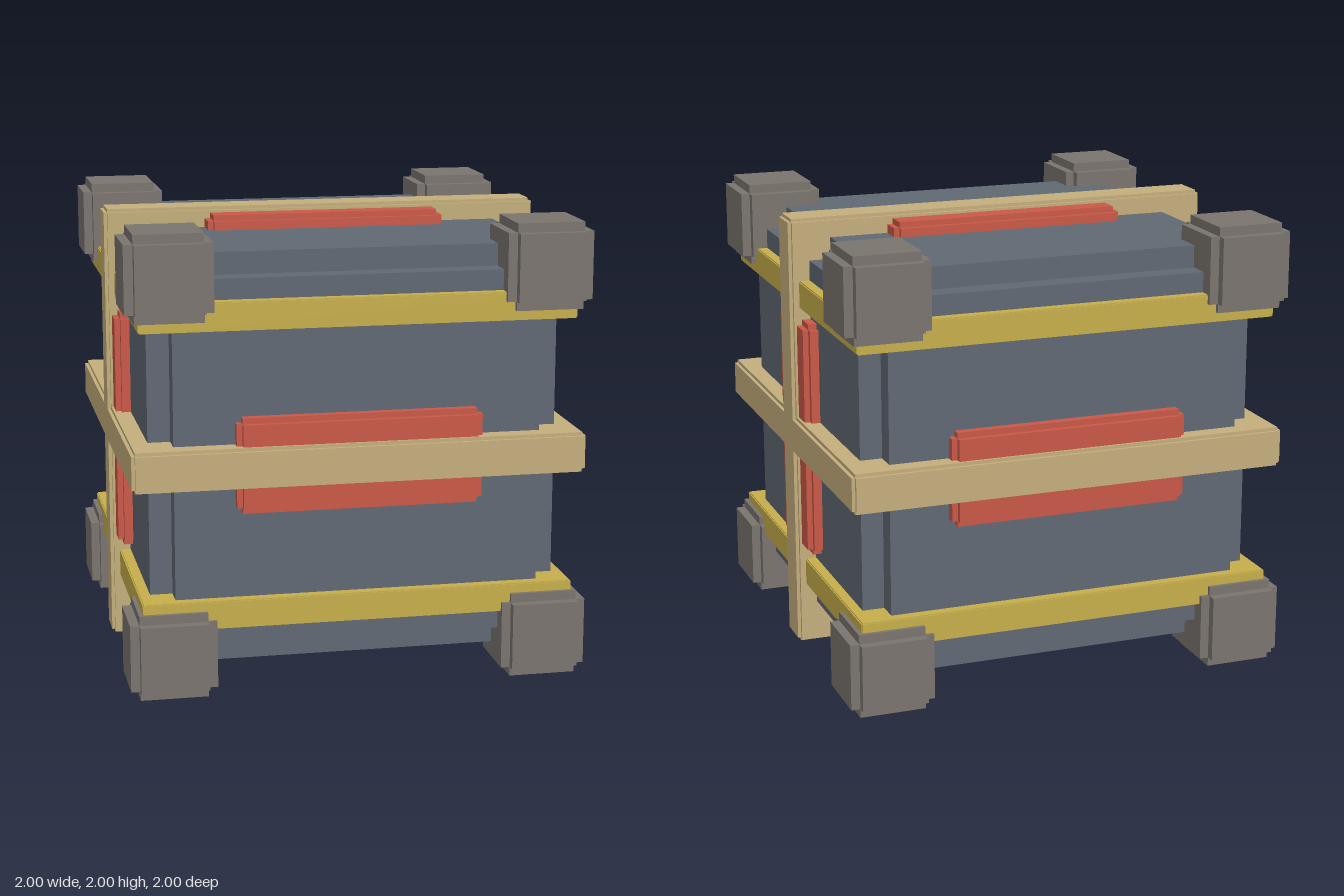
import * as THREE from 'three';

const material = (name, color) => {
  const m = new THREE.MeshStandardMaterial({ color });
  m.name = name;
  return m;
};

// Box with square-stepped edges: three boxes, each reaching full size on one axis.
function steppedBox(name, mat, half, step, position) {
  const group = new THREE.Group();
  group.name = name;
  for (let axis = 0; axis < 3; axis++) {
    const size = half.map((h, i) => 2 * (i === axis ? h : h - step));
    const mesh = new THREE.Mesh(new THREE.BoxGeometry(...size), mat);
    mesh.name = name + 'Block' + 'XYZ'[axis];
    group.add(mesh);
  }
  group.position.set(...position);
  return group;
}

export function createModel() {
  const slate = material('slate', 0x606873);
  const tan = material('tan', 0xc4ae7c);
  const gold = material('gold', 0xc6ae4b);
  const red = material('red', 0xc95847);
  const grey = material('warmGrey', 0x7a746e);

  const model = new THREE.Group();
  model.name = 'crate';
  const add = (...args) => model.add(steppedBox(...args));

  // Main body
  add('body', slate, [0.893, 0.893, 0.893], 0.097, [0, 1, 0]);

  // Tan straps: one around the waist, one over the top and sides
  add('waistStrap', tan, [0.983, 0.088, 0.983], 0.015, [0, 1, 0]);
  add('verticalStrap', tan, [0.983, 0.983, 0.088], 0.015, [0, 1, 0]);

  for (const s of [-1, 1]) {
    // Gold bands near the top and bottom
    add(s > 0 ? 'upperBand' : 'lowerBand', gold, [0.942, 0.062, 0.942], 0.005, [0, 1 + s * 0.645, 0]);

    // Red panels on all six faces
    add(s > 0 ? 'frontPanel' : 'backPanel', red, [0.533, 0.207, 0.064], 0.025, [0, 1, s * 0.893]);
    add(s > 0 ? 'leftPanel' : 'rightPanel', red, [0.064, 0.533, 0.207], 0.025, [s * 0.893, 1, 0]);
    add(s > 0 ? 'topPanel' : 'bottomPanel', red, [0.533, 0.064, 0.207], 0.025, [0, 1 + s * 0.893, 0]);

    // Corner guards
    for (const x of [-1, 1]) {
      for (const z of [-1, 1]) {
        add('cornerGuard', grey, [0.187, 0.187, 0.187], 0.04, [x * 0.813, 1 + s * 0.813, z * 0.813]);
      }
    }
  }
  return model;
}
